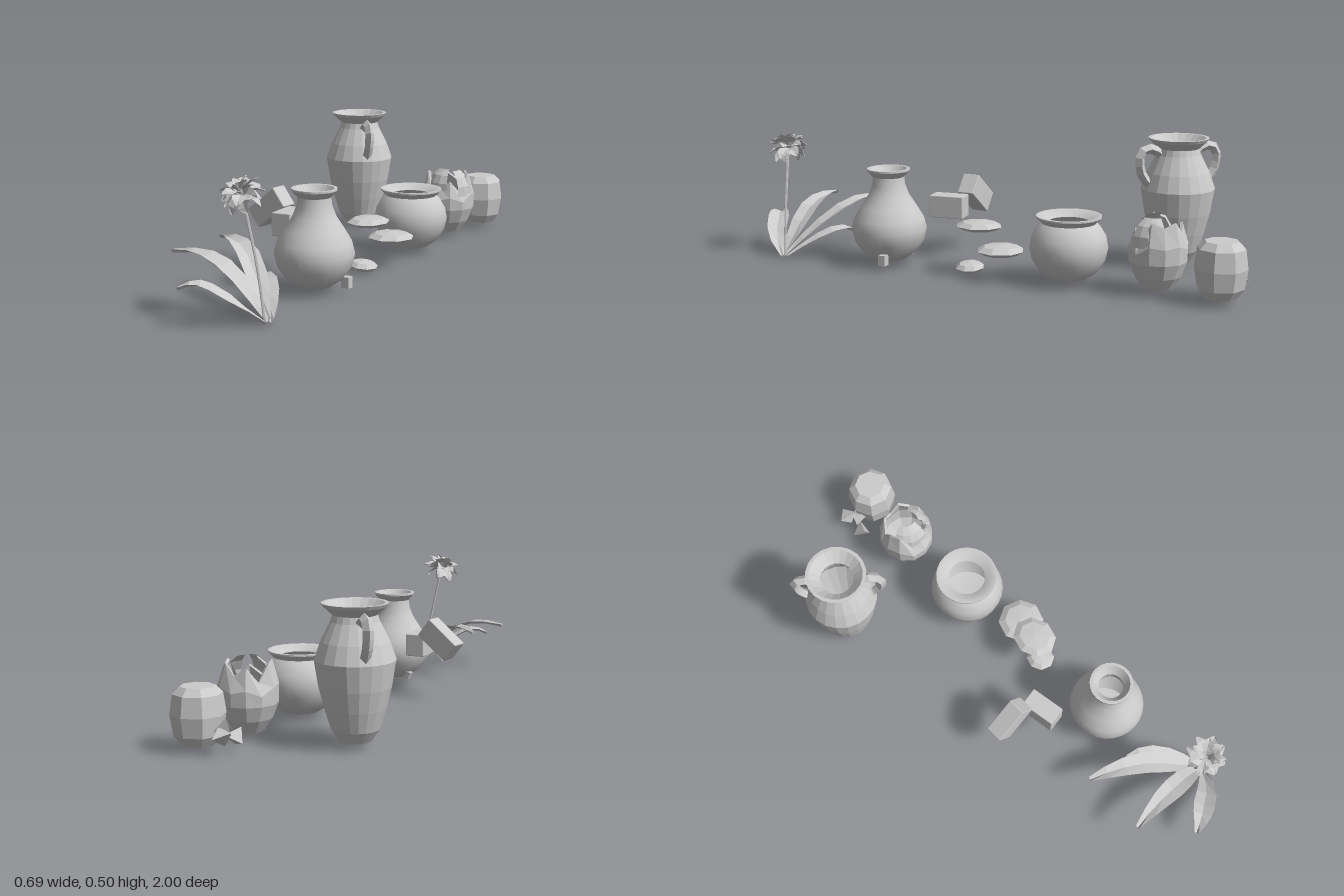
import * as THREE from 'three';
import { toCreasedNormals } from 'three/addons/utils/BufferGeometryUtils.js';
import { RoundedBoxGeometry } from 'three/addons/geometries/RoundedBoxGeometry.js';

const smooth = new THREE.MeshStandardMaterial({ color: 0xcccccc, side: THREE.DoubleSide });
const flat = new THREE.MeshStandardMaterial({ color: 0xcccccc, side: THREE.DoubleSide, flatShading: true });
const v2 = (p) => new THREE.Vector2(p[0], p[1]);
const v3 = (p) => new THREE.Vector3(p[0], p[1], p[2]);

function add(parent, name, geometry, material, x = 0, y = 0, z = 0) {
  const mesh = new THREE.Mesh(geometry, material);
  mesh.name = name;
  mesh.position.set(x, y, z);
  parent.add(mesh);
  return mesh;
}

// Ribbon along a path, pointed at both ends, creased along its middle
function ribbon(points, width, steps, crease = 0.012) {
  const curve = new THREE.CatmullRomCurve3(points.map(v3));
  const pos = [], index = [];
  for (let i = 0; i <= steps; i++) {
    const t = i / steps, p = curve.getPoint(t), d = curve.getTangent(t);
    const side = new THREE.Vector3(-d.z, 0, d.x).normalize();
    const w = width * (0.22 + 0.78 * Math.sin(Math.PI * Math.pow(t, 0.9))) / 2;
    for (const s of [-1, 0, 1]) {
      pos.push(p.x + side.x * w * s, p.y - (s === 0 ? crease : 0), p.z + side.z * w * s);
    }
    if (i < steps) for (let k = 0; k < 2; k++) {
      const a = i * 3 + k;
      index.push(a, a + 1, a + 3, a + 1, a + 4, a + 3);
    }
  }
  const g = new THREE.BufferGeometry();
  g.setAttribute('position', new THREE.Float32BufferAttribute(pos, 3));
  g.setIndex(index);
  g.computeVertexNormals();
  return g;
}

function lathe(profile, sides) {
  return new THREE.LatheGeometry(profile.map(v2), sides);
}

// Faceted storage jar with two handles on its diagonal
function amphora() {
  const g = new THREE.Group();
  g.name = 'amphora';
  add(g, 'amphoraBody', lathe([[0, 0.025], [0.055, 0.025], [0.084, 0.068], [0.106, 0.14], [0.125, 0.215],
    [0.14, 0.307], [0.118, 0.37], [0.084, 0.437], [0.077, 0.46], [0.108, 0.488], [0.115, 0.5], [0.102, 0.5],
    [0.063, 0.462], [0.07, 0.43], [0.122, 0.307], [0.07, 0.07], [0, 0.06]], 20), flat);
  const path = new THREE.CatmullRomCurve3([[0.07, 0.435, 0], [0.105, 0.46, 0], [0.14, 0.463, 0], [0.161, 0.44, 0],
    [0.163, 0.4, 0], [0.15, 0.36, 0], [0.118, 0.325, 0]].map(v3));
  for (const turn of [-Math.PI / 4, Math.PI * 3 / 4]) {
    add(g, 'amphoraHandle', new THREE.TubeGeometry(path, 8, 0.019, 4), flat).rotation.y = turn;
  }
  g.position.set(-0.202, 0, -0.622);
  return g;
}

// Broken jar: the upper rows of the wall rise to an uneven edge
function brokenJar() {
  const g = new THREE.Group();
  g.name = 'brokenJar';
  const body = lathe([[0, 0.025], [0.055, 0.025], [0.085, 0.07], [0.106, 0.125], [0.108, 0.18], [0.085, 0.25],
    [0.076, 0.245], [0.096, 0.18], [0.094, 0.125], [0.05, 0.045], [0, 0.04]], 12);
  const edge = [0.7, 0.95, 0.55, 1.2, 1.05, 1.2, 0.85, 1.1, 0.65, 1.15, 1.25, 0.6];
  const p = body.attributes.position;
  for (let i = 0; i < p.count; i++) {
    const k = edge[Math.floor(i / 11) % 12];
    if (p.getY(i) > 0.13) p.setY(i, 0.13 + (p.getY(i) - 0.13) * k);
  }
  add(g, 'brokenJarBody', body, flat);
  // Curved pieces standing in and beside the opening
  const shard = (r, a, w, h) => new THREE.SphereGeometry(r, 4, 3, a, w, 0.5, h);
  add(g, 'standingShard', shard(0.1, 0.3, 1.5, 1.1), flat, 0.01, 0.2, -0.01);
  add(g, 'standingShard', shard(0.1, 2.5, 1.3, 1.2), flat, 0, 0.195, 0.01);
  g.position.set(0.202, 0, -0.67);
  return g;
}

// Cut flower with a bare stem, a spiky head and four long leaves
function flower() {
  const g = new THREE.Group();
  g.name = 'flower';
  const stem = new THREE.CatmullRomCurve3([[0.274, 0.01, 0.83], [0.25, 0.19, 0.835], [0.2, 0.43, 0.845]].map(v3));
  add(g, 'stem', new THREE.TubeGeometry(stem, 8, 0.005, 5), flat);

  const leaves = [
    [[0.28, 0.02, 0.82], [0.2, 0.11, 0.75], [0.1, 0.19, 0.67], [0, 0.222, 0.61], [-0.09, 0.205, 0.56]],
    [[0.28, 0.02, 0.83], [0.2, 0.11, 0.82], [0.1, 0.185, 0.815], [0, 0.212, 0.81], [-0.11, 0.203, 0.812]],
    [[0.28, 0.015, 0.84], [0.22, 0.08, 0.9], [0.14, 0.135, 0.94], [0.09, 0.15, 0.965], [0.04, 0.13, 0.985]],
    [[0.285, 0.015, 0.81], [0.23, 0.07, 0.74], [0.17, 0.11, 0.67], [0.11, 0.11, 0.62], [0.07, 0.068, 0.6]],
  ];
  for (const pts of leaves) add(g, 'leaf', ribbon(pts, 0.082, 6), flat);

  // Petals in four tilted rings
  const petal = ribbon([[0.005, 0, 0], [0.03, 0.008, 0], [0.055, 0.004, 0], [0.075, -0.008, 0]], 0.05, 3, 0.006);
  const head = new THREE.Group();
  head.name = 'flowerHead';
  [[-0.6, 6, 1], [0, 8, 1.02], [0.55, 7, 0.95], [1.05, 5, 0.8]].forEach(([lift, count, size], ring) => {
    for (let i = 0; i < count; i++) {
      const m = add(head, 'petal', petal, flat);
      m.rotation.set(i % 2 ? 0.5 : -0.4, (i / count) * Math.PI * 2 + ring * 0.4, lift, 'YZX');
      m.scale.setScalar(size);
    }
  });
  head.position.set(0.2, 0.43, 0.845);
  head.rotation.set(0.3, 0, 0.2);
  g.add(head);
  return g;
}

export function createModel() {
  const root = new THREE.Group();
  root.name = 'potteryAndFlower';
  root.add(amphora(), brokenJar(), flower());

  // Narrow-necked vase
  const vase = lathe([[0, 0.025], [0.06, 0.025], [0.1, 0.052], [0.132, 0.095], [0.144, 0.145], [0.134, 0.185],
    [0.107, 0.23], [0.078, 0.275], [0.063, 0.315], [0.06, 0.345], [0.082, 0.369], [0.082, 0.376], [0.07, 0.376],
    [0.047, 0.345], [0.05, 0.315], [0.095, 0.225], [0.13, 0.145], [0.09, 0.06], [0, 0.04]], 28);
  add(root, 'vase', toCreasedNormals(vase, 0.6), smooth, 0.2, 0, 0.402);
  add(root, 'vaseChip', new THREE.BoxGeometry(0.03, 0.04, 0.028), flat, 0.314, 0.045, 0.37);
  add(root, 'vaseChip', new THREE.BoxGeometry(0.02, 0.03, 0.025), flat, 0.112, 0.04, 0.36).rotation.z = 0.4;

  // Wide pot
  const pot = lathe([[0, 0.025], [0.07, 0.025], [0.108, 0.052], [0.134, 0.095], [0.144, 0.14], [0.136, 0.18],
    [0.115, 0.215], [0.1, 0.23], [0.12, 0.25], [0.12, 0.256], [0.106, 0.256], [0.072, 0.234], [0.1, 0.205],
    [0.13, 0.14], [0.1, 0.065], [0, 0.04]], 28);
  add(root, 'widePot', toCreasedNormals(pot, 0.6), smooth, 0.2, 0, -0.333);

  // Small closed jar with fallen pieces beside it
  add(root, 'smallJar', lathe([[0, 0.025], [0.06, 0.025], [0.085, 0.06], [0.096, 0.13], [0.086, 0.2], [0.06, 0.225],
    [0, 0.225]], 8), flat, 0.243, 0, -0.907);
  [[0.125, 0.07, -0.94, 0.3], [0.125, 0.05, -0.86, 1.4], [0.15, 0.09, -0.9, 2.3]].forEach(([x, y, z, a]) => {
    const m = add(root, 'fallenShard', new THREE.TetrahedronGeometry(0.042), flat, x, y, z);
    m.rotation.set(a, a * 2, 0.3);
  });

  // Flat stones
  [[0.205, 0.187, 0.022, 0.078, 0.02, 0.09], [0.245, 0.112, -0.083, 0.09, 0.022, 0.09],
    [0.205, 0.025, 0.06, 0.056, 0.021, 0.056]].forEach(([x, y, z, sx, sy, sz], i) => {
    const m = add(root, 'flatStone', new THREE.SphereGeometry(1, 8, 4), flat, x, y, z);
    m.scale.set(sx, sy, sz);
    m.rotation.z = i === 2 ? -0.1 : 0;
  });

  // Two loose bricks
  const tilted = add(root, 'tiltedBrick', new RoundedBoxGeometry(0.153, 0.086, 0.07, 1, 0.004), smooth, -0.124, 0.239, 0.185);
  tilted.rotation.set(0, -0.08, 0.66);
  const level = add(root, 'levelBrick', new RoundedBoxGeometry(0.076, 0.088, 0.138, 1, 0.004), smooth, -0.005, 0.204, 0.246);
  level.rotation.y = 0.09;
  return root;
}
